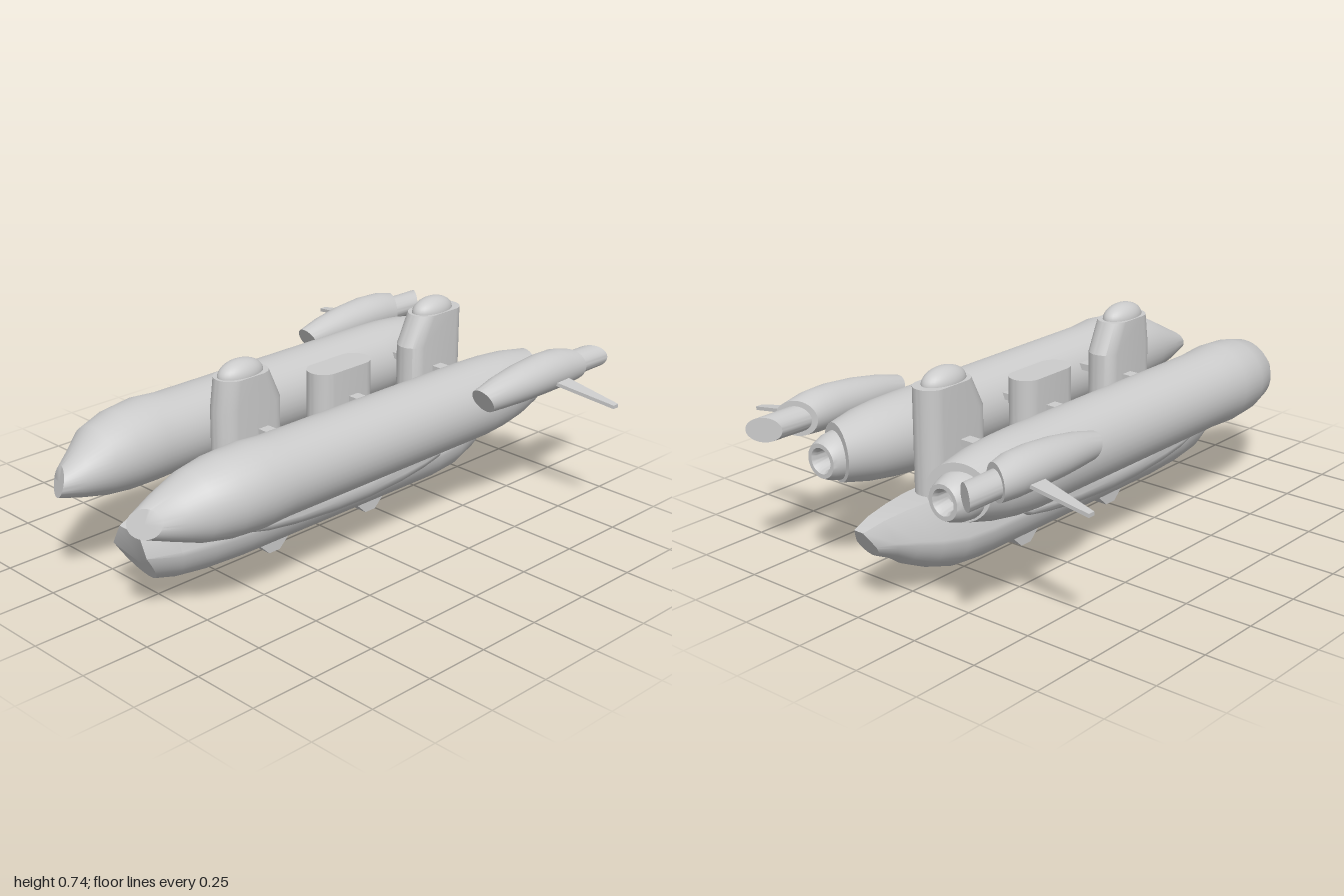
import * as THREE from 'three';
import { toCreasedNormals } from 'three/addons/utils/BufferGeometryUtils.js';

const SIDES = 40;
const mat = new THREE.MeshStandardMaterial({ color: 0xcccccc });
const lerp = THREE.MathUtils.lerp;

// Skin a list of equal-sized point rings and close both ends
function loft(rings, crease = 0.6) {
  const n = rings[0].length, pos = [], idx = [];
  rings.forEach(r => r.forEach(p => pos.push(...p)));
  for (let i = 0; i < rings.length - 1; i++) {
    for (let j = 0; j < n; j++) {
      const a = i * n + j, b = i * n + (j + 1) % n;
      idx.push(a, a + n, b, b, a + n, b + n);
    }
  }
  [0, rings.length - 1].forEach((k, end) => {
    const c = pos.length / 3, r = rings[k];
    pos.push(...[0, 1, 2].map(d => r.reduce((s, p) => s + p[d], 0) / n));
    for (let j = 0; j < n; j++) {
      const a = k * n + j, b = k * n + (j + 1) % n;
      if (end) idx.push(c, b, a); else idx.push(c, a, b);
    }
  });
  const g = new THREE.BufferGeometry();
  g.setAttribute('position', new THREE.Float32BufferAttribute(pos, 3));
  g.setIndex(idx);
  return toCreasedNormals(g, crease);
}

// Elliptical ring across z, optionally cut at a slant
const oval = (z, x, y, rx, ry, slantX = 0, slantY = 0) =>
  Array.from({ length: SIDES }, (_, j) => {
    const t = j / SIDES * Math.PI * 2, dx = rx * Math.cos(t), dy = ry * Math.sin(t);
    return [x + dx, y + dy, z + slantX * dx + slantY * dy];
  });

// Round-bottomed hull ring with a chamfered flat top; slant rakes the part below mid
const hullRing = (z, rx, bottom, mid, top, topHalf, rakeLow = 0, rakeTop = 0) => {
  const pts = [[topHalf, top], [-topHalf, top]];
  for (let j = 0; j <= 24; j++) {
    const t = Math.PI * (1 + j / 24);
    pts.push([rx * Math.cos(t), mid + (mid - bottom) * Math.sin(t)]);
  }
  return pts.map(([x, y]) => [x, y, z + (y < mid ? rakeLow : rakeTop) * (y - mid)]);
};

// Horizontal stadium ring between two z values
const stadium = (y, z0, z1, hw = 0.06) =>
  Array.from({ length: SIDES }, (_, j) => {
    const t = (j + 0.5) / SIDES * Math.PI * 2, c = Math.cos(t);
    return [hw * Math.sin(t), y, (z0 + z1) / 2 + ((z1 - z0) / 2 - hw) * Math.sign(c) + hw * c];
  });

export function createModel() {
  const model = new THREE.Group();
  model.name = 'spacecraft';
  const add = (name, geo, x = 0, y = 0, z = 0) => {
    const m = new THREE.Mesh(geo, mat);
    m.name = name;
    m.position.set(x, y, z);
    model.add(m);
    return m;
  };
  // Profile points are [radius, z]
  const latheZ = (pts) =>
    toCreasedNormals(new THREE.LatheGeometry(pts.map(p => new THREE.Vector2(...p)), SIDES).rotateX(Math.PI / 2), 0.6);

  // Central lower hull, raked bow and upswept stern
  add('centralHull', loft([
    hullRing(0.86, 0.087, 0.075, 0.2, 0.273, 0.05, 0.64),
    hullRing(0.74, 0.122, 0.06, 0.195, 0.315, 0.06, 0.2),
    hullRing(0.6, 0.138, 0.048, 0.19, 0.325, 0.065),
    hullRing(0.44, 0.145, 0.042, 0.185, 0.325, 0.065),
    hullRing(-0.5, 0.145, 0.04, 0.185, 0.325, 0.065),
    hullRing(-0.62, 0.138, 0.05, 0.19, 0.325, 0.063),
    hullRing(-0.72, 0.12, 0.082, 0.205, 0.325, 0.058),
    hullRing(-0.81, 0.095, 0.125, 0.225, 0.322, 0.046),
    hullRing(-0.88, 0.07, 0.16, 0.235, 0.312, 0.034, -0.3, -0.3),
    hullRing(-0.95, 0.045, 0.19, 0.24, 0.292, 0.02, -0.6, -0.6),
  ]));

  // Two small keel feet
  for (const z of [0.258, -0.222]) {
    const g = new THREE.BoxGeometry(0.08, 0.055, 0.165);
    const p = g.attributes.position;
    for (let i = 0; i < p.count; i++) if (p.getY(i) < 0) p.setZ(i, p.getZ(i) * 0.3);
    g.computeVertexNormals();
    add('keelFoot', g, 0, 0.0275, z);
  }

  // Towers with domes, and the middle column
  add('frontTower', loft([stadium(0.69, 0.26, 0.47), stadium(0.58, 0.21, 0.485), stadium(0.28, 0.21, 0.485)], 0.35));
  add('rearTower', loft([stadium(0.69, -0.7, -0.475), stadium(0.58, -0.7, -0.42), stadium(0.28, -0.7, -0.42)], 0.35));
  add('middleColumn', loft([stadium(0.6, -0.23, 0.04), stadium(0.28, -0.23, 0.04)]));
  for (const z of [0.368, -0.578]) {
    const dome = new THREE.SphereGeometry(1, 32, 12, 0, Math.PI * 2, 0, Math.PI / 2);
    add('towerDome', dome.scale(0.054, 0.052, 0.092), 0, 0.688, z);
  }

  // Cross struts joining the columns to the side bodies
  for (const z of [0.32, -0.11, -0.545]) {
    add('crossStrut', new THREE.BoxGeometry(0.3, 0.024, 0.045), 0, 0.485, z);
  }

  for (const s of [1, -1]) {
    const side = s > 0 ? 'left' : 'right';
    const ring = (z, x, y, rx, ry, sx = 0, sy = 0) => oval(z, s * x, y, rx, ry, s * sx, sy);

    // Large side body with slant-cut nose and tail
    add(side + 'Body', loft([
      ring(0.967, 0.222, 0.408, 0.057, 0.047, -0.45, -0.35),
      ring(0.89, 0.232, 0.416, 0.092, 0.082, -0.2, -0.15),
      ring(0.8, 0.247, 0.424, 0.126, 0.12),
      ring(0.7, 0.259, 0.429, 0.144, 0.14),
      ring(0.58, 0.266, 0.432, 0.147, 0.148),
      ring(0.48, 0.265, 0.43, 0.141, 0.142),
      ring(-0.5, 0.265, 0.43, 0.14, 0.141),
      ring(-0.6, 0.266, 0.433, 0.134, 0.136),
      ring(-0.7, 0.268, 0.437, 0.123, 0.124, 0.15),
      ring(-0.81, 0.271, 0.442, 0.1, 0.1, 0.4),
    ]));

    // Hollow engine nozzle
    add(side + 'Nozzle', latheZ([
      [0.001, -0.81], [0.03, -0.81], [0.036, -0.865], [0.045, -0.88], [0.06, -0.88],
      [0.068, -0.865], [0.08, -0.83], [0.084, -0.79], [0.08, -0.74], [0.001, -0.72],
    ]), s * 0.272, 0.432, 0);

    // Slim pod between hull and side body
    add(side + 'LowerPod', latheZ([
      [0.001, -0.42], [0.02, -0.415], [0.034, -0.395], [0.05, -0.3], [0.063, -0.18], [0.071, 0],
      [0.069, 0.15], [0.058, 0.32], [0.043, 0.44], [0.027, 0.51], [0.012, 0.54], [0.001, 0.545],
    ]), s * 0.193, 0.243, 0);

    // Outer pod with exhaust pipe
    add(side + 'OuterPod', loft([
      ring(-0.367, 0.44, 0.508, 0.047, 0.045, 0, 0.5),
      ring(-0.45, 0.442, 0.519, 0.06, 0.058, 0, 0.2),
      ring(-0.55, 0.444, 0.527, 0.07, 0.068),
      ring(-0.67, 0.445, 0.532, 0.074, 0.073),
      ring(-0.76, 0.443, 0.53, 0.073, 0.072, -0.2),
      ring(-0.825, 0.441, 0.525, 0.067, 0.062, -0.5),
    ]));
    add(side + 'ExhaustPipe', loft([
      ring(-0.75, 0.443, 0.523, 0.05, 0.046),
      ring(-0.965, 0.445, 0.523, 0.051, 0.043, -0.68),
    ]));

    // Thin drooping fin, tapered towards the tip
    const fin = new THREE.BoxGeometry(1, 1, 1);
    const p = fin.attributes.position;
    for (let i = 0; i < p.count; i++) {
      const t = s * p.getX(i) + 0.5;
      p.setXYZ(i, s * lerp(0.48, 0.738, t),
        lerp(0.512, 0.472, t) + p.getY(i) * 0.013,
        lerp(-0.713, -0.734, t) + p.getZ(i) * lerp(0.075, 0.026, t));
    }
    fin.computeVertexNormals();
    add(side + 'Fin', fin);
  }
  return model;
}
